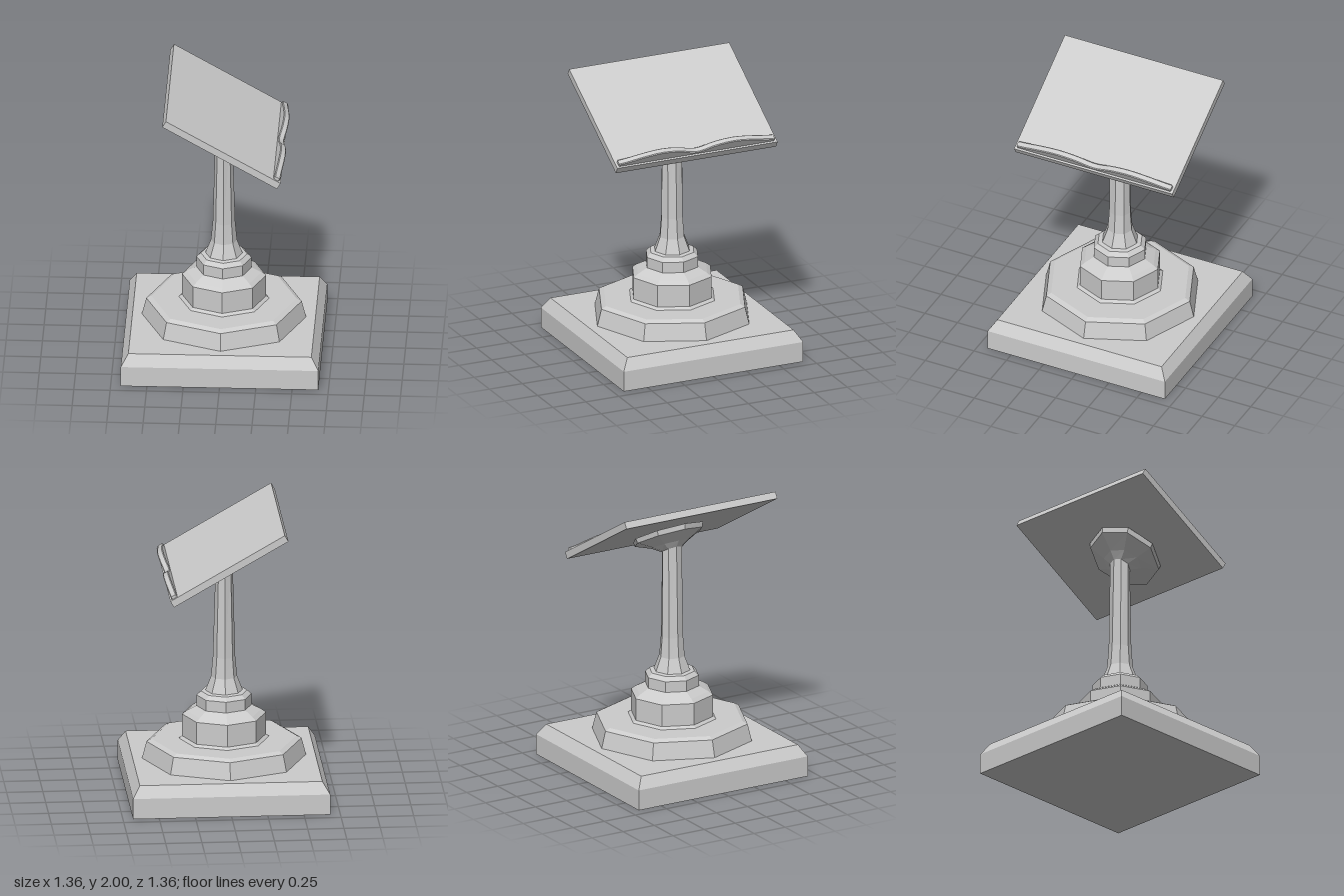
import * as THREE from 'three';

const material = new THREE.MeshStandardMaterial({ color: 0xcccccc, flatShading: true });
const TILT = Math.PI / 6;

function addMesh(parent, name, geometry) {
  const mesh = new THREE.Mesh(geometry, material);
  mesh.name = name;
  parent.add(mesh);
  return mesh;
}

// Capped skin over polygon rings. Ring: [centre x, centre y, radius x, radius z, slope in x]
function loft(rings, sides = 8, turn = 0) {
  const positions = [];
  const index = [];
  for (const [cx, cy, rx, rz, slope = 0] of rings) {
    for (let i = 0; i < sides; i++) {
      const a = turn + (i / sides) * Math.PI * 2;
      const dx = rx * Math.cos(a);
      positions.push(cx + dx, cy + slope * dx, rz * Math.sin(a));
    }
  }
  for (let r = 0; r < rings.length - 1; r++) {
    for (let i = 0; i < sides; i++) {
      const j = (i + 1) % sides;
      const a = r * sides + i, b = r * sides + j;
      index.push(a, a + sides, b, b, a + sides, b + sides);
    }
  }
  const top = (rings.length - 1) * sides;
  for (let i = 1; i < sides - 1; i++) {
    index.push(0, i, i + 1);
    index.push(top, top + i + 1, top + i);
  }
  const geometry = new THREE.BufferGeometry();
  geometry.setAttribute('position', new THREE.Float32BufferAttribute(positions, 3));
  geometry.setIndex(index);
  const flat = geometry.toNonIndexed();
  flat.computeVertexNormals();
  return flat;
}

// Upright ring with equal radii
const ring = (r, y) => [0, y, r, r];

export function createModel() {
  const model = new THREE.Group();
  model.name = 'lectern';

  // Square plinth with a sloped top edge
  const square = ([half, y]) => ring(half * Math.SQRT2, y);
  addMesh(model, 'plinth', loft([[0.68, 0], [0.68, 0.145], [0.63, 0.225]].map(square), 4, Math.PI / 4));

  // Octagonal steps
  addMesh(model, 'lowerStep', loft([
    ring(0.567, 0.22), ring(0.535, 0.345), ring(0.5, 0.363),
  ]));
  addMesh(model, 'middleStep', loft([
    ring(0.315, 0.36), ring(0.29, 0.38), ring(0.29, 0.537), ring(0.258, 0.56), ring(0.19, 0.595),
  ]));
  addMesh(model, 'upperStep', loft([
    ring(0.19, 0.59), ring(0.19, 0.672), ring(0.16, 0.7), ring(0.13, 0.705),
  ]));

  // Tapered stem, cut off at the slope of the desk
  addMesh(model, 'stem', loft([
    ring(0.13, 0.7), ring(0.09, 0.805), [0, 0.95, 0.077, 0.079],
    [0, 1.58, 0.06, 0.075, -0.6],
  ]));

  // Flared bracket under the desk
  addMesh(model, 'bracket', loft([
    [0, 1.575, 0.06, 0.075, -0.6],
    [0.022, 1.607, 0.115, 0.14, -0.52],
    [0.045, 1.652, 0.22, 0.25, -0.56],
    [0.052, 1.685, 0.225, 0.26, -0.577],
  ]));

  // Tilted desk board with a book rest along its low edge
  const desk = new THREE.Group();
  desk.name = 'desk';
  desk.position.set(0.01, 1.747, 0);
  desk.rotation.z = -TILT;
  model.add(desk);
  addMesh(desk, 'board', new THREE.BoxGeometry(0.912, 0.05, 1.214));

  // Wavy rest: outline drawn along the edge, extruded across it
  const half = [[0.59, 0.045], [0.53, 0.053], [0.4, 0.08], [0.27, 0.095], [0.14, 0.08], [0.05, 0.05]];
  const crest = new THREE.SplineCurve([
    ...half.map(([z, h]) => new THREE.Vector2(-z, h)),
    new THREE.Vector2(0, 0.042),
    ...half.slice().reverse().map(([z, h]) => new THREE.Vector2(z, h)),
  ]);
  const outline = new THREE.Shape([
    new THREE.Vector2(0.59, 0.015), ...crest.getPoints(28).reverse(), new THREE.Vector2(-0.59, 0.015),
  ]);
  const rest = addMesh(desk, 'bookRest', new THREE.ExtrudeGeometry(outline, {
    depth: 0.032, bevelEnabled: true, bevelThickness: 0.006, bevelSize: 0.005, bevelOffset: -0.005, bevelSegments: 1,
  }));
  rest.rotation.y = Math.PI / 2;
  rest.position.x = 0.404;

  return model;
}
